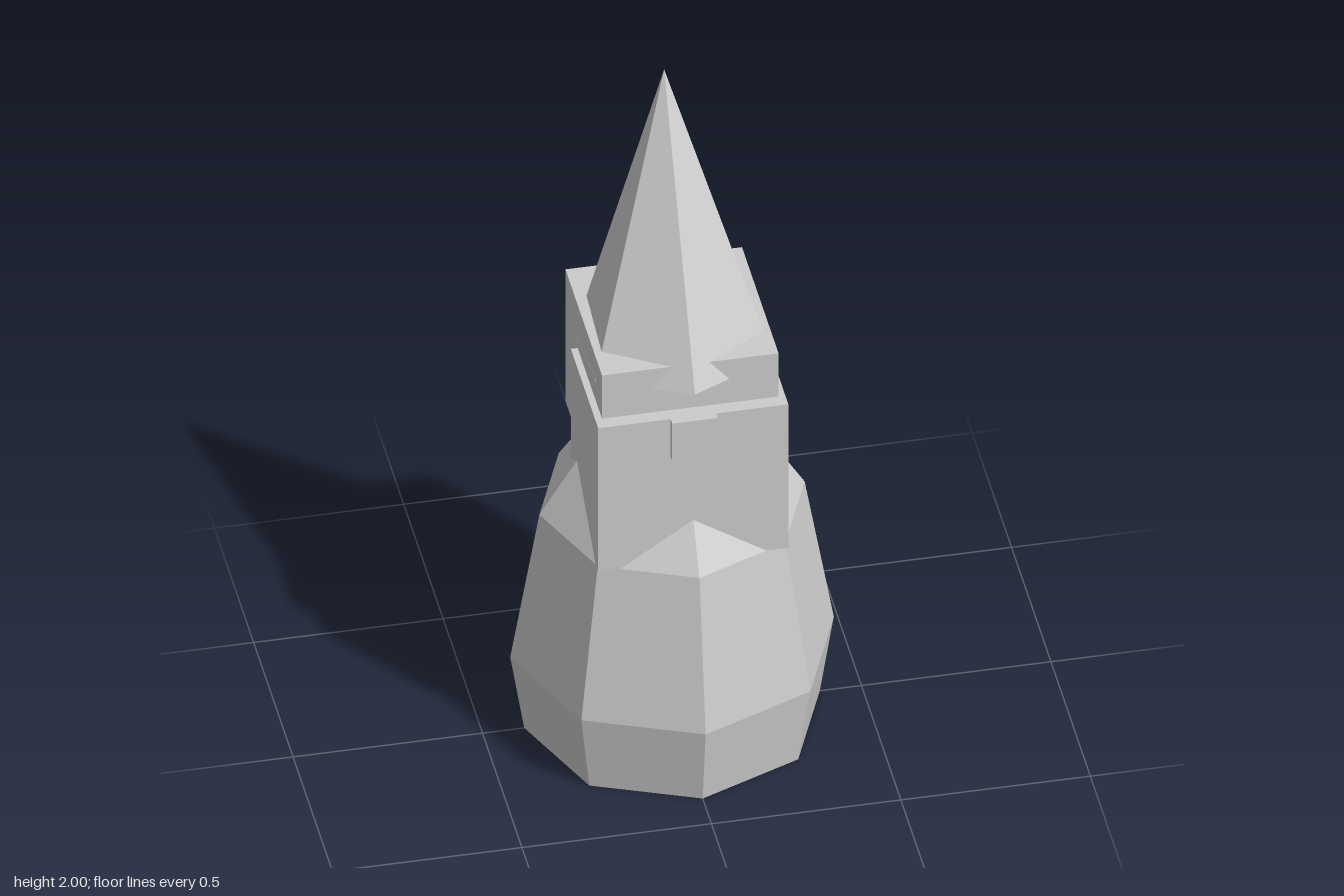
import * as THREE from 'three';

const stone = new THREE.MeshStandardMaterial({
  name: 'plain grey', color: 0xcccccc, flatShading: true, side: THREE.DoubleSide,
});

// Adds one named part to the model
function addPart(group, name, geometry) {
  const mesh = new THREE.Mesh(geometry, stone);
  mesh.name = name;
  group.add(mesh);
  return mesh;
}

// Box given by its lower and upper corners
function boxBetween([x0, y0, z0], [x1, y1, z1]) {
  return new THREE.BoxGeometry(x1 - x0, y1 - y0, z1 - z0)
    .translate((x0 + x1) / 2, (y0 + y1) / 2, (z0 + z1) / 2);
}

export function createModel() {
  const model = new THREE.Group();
  model.name = 'gnome';

  // Eight-sided body, open underneath
  const profile = [[0.39, 0], [0.427, 0.235], [0.35, 0.685], [0.217, 0.9]]
    .map(([r, y]) => new THREE.Vector2(r, y));
  addPart(model, 'body', new THREE.LatheGeometry(profile, 8));

  // Head, with the beard wrapped round its front
  addPart(model, 'head', boxBetween([-0.233, 0.865, -0.232], [0.233, 1.29, 0.232]));
  addPart(model, 'beard', boxBetween([-0.251, 0.685, -0.077], [0.251, 1.15, 0.27]));
  addPart(model, 'nose', boxBetween([-0.06, 1.03, 0.17], [0.06, 1.15, 0.29]));

  // Six-sided hat leaning back; its brim pokes through the head
  const hat = addPart(model, 'hat', new THREE.ConeGeometry(0.272, 0.814, 6));
  hat.position.set(0, 1.5975, -0.039);
  hat.rotation.x = -0.15;

  return model;
}
